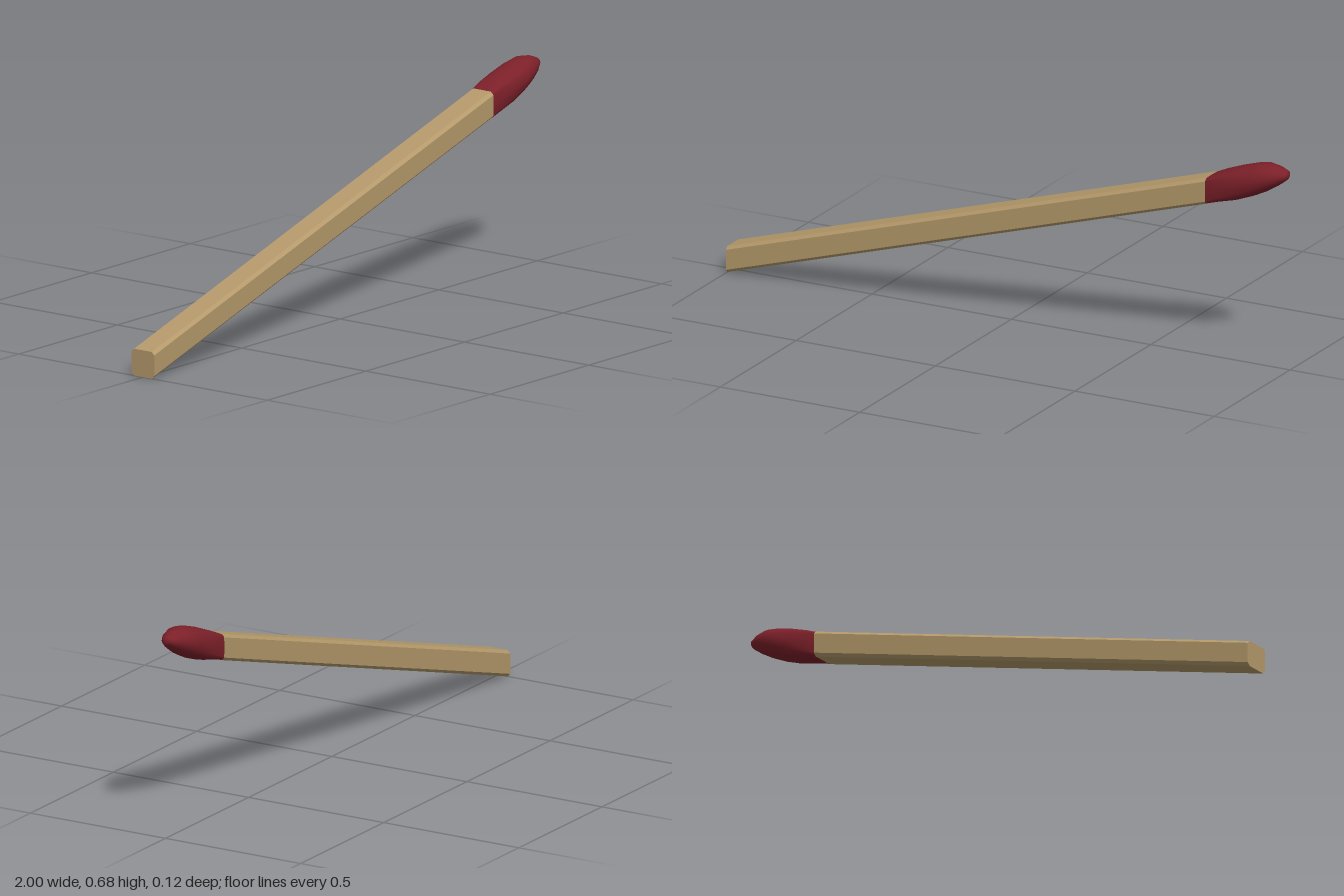
import * as THREE from 'three';

const SLOPE = 0.302, JOIN = 0.72, HY = 0.0435, HZ = 0.0455, BEVEL = 0.01;

// Square stick with chamfered edges, sheared so both ends stay vertical
function stickGeometry() {
  const w = HZ, h = HY, b = BEVEL;
  const outline = new THREE.Shape([
    [w, -h + b], [w, h - b], [w - b, h], [-w + b, h],
    [-w, h - b], [-w, -h + b], [-w + b, -h], [w - b, -h],
  ].map(([x, y]) => new THREE.Vector2(x, y)));
  const geo = new THREE.ExtrudeGeometry(outline, { depth: JOIN + 1, bevelEnabled: false });
  geo.rotateY(Math.PI / 2).translate(-1, 0, 0);
  const p = geo.attributes.position;
  for (let i = 0; i < p.count; i++) p.setY(i, p.getY(i) + HY + SLOPE * (p.getX(i) + 1));
  geo.computeVertexNormals();
  return geo;
}

// Bulb lofted along x, from the stick's squarish section to a round tip
function headGeometry() {
  // x, centre y, half height, half width, superellipse power
  const sections = [
    [JOIN, 0.563, 0.0435, 0.046, 7],
    [0.76, 0.578, 0.048, 0.052, 4],
    [0.82, 0.597, 0.054, 0.057, 2.6],
    [0.88, 0.618, 0.053, 0.058, 2.1],
    [0.92, 0.632, 0.047, 0.053, 2],
    [0.96, 0.642, 0.032, 0.038, 2],
    [0.99, 0.648, 0.015, 0.02, 2],
  ];
  const N = 16, pos = [], index = [];
  const bend = (v, n) => Math.sign(v) * Math.abs(v) ** (2 / n);
  for (const [x, cy, hy, hz, n] of sections) {
    for (let j = 0; j < N; j++) {
      const a = (j / N) * Math.PI * 2;
      pos.push(x, cy + hy * bend(Math.sin(a), n), hz * bend(Math.cos(a), n));
    }
  }
  const tip = pos.length / 3;
  pos.push(1, 0.65, 0);
  const last = sections.length - 1;
  for (let j = 0; j < N; j++) {
    const k = (j + 1) % N;
    for (let i = 0; i < last; i++) {
      const a = i * N + j, b = i * N + k;
      index.push(a, a + N, b, b, a + N, b + N);
    }
    index.push(last * N + j, tip, last * N + k);
  }
  const geo = new THREE.BufferGeometry();
  geo.setAttribute('position', new THREE.Float32BufferAttribute(pos, 3));
  geo.setIndex(index);
  geo.computeVertexNormals();
  return geo;
}

export function createModel() {
  const group = new THREE.Group();
  group.name = 'matchstick';
  const add = (name, geo, color, extra) => {
    const mesh = new THREE.Mesh(geo, new THREE.MeshStandardMaterial({ color, ...extra }));
    mesh.name = name;
    group.add(mesh);
  };
  add('stick', stickGeometry(), 0xb4996a);
  add('head', headGeometry(), 0x7c2029, { side: THREE.DoubleSide });
  return group;
}
